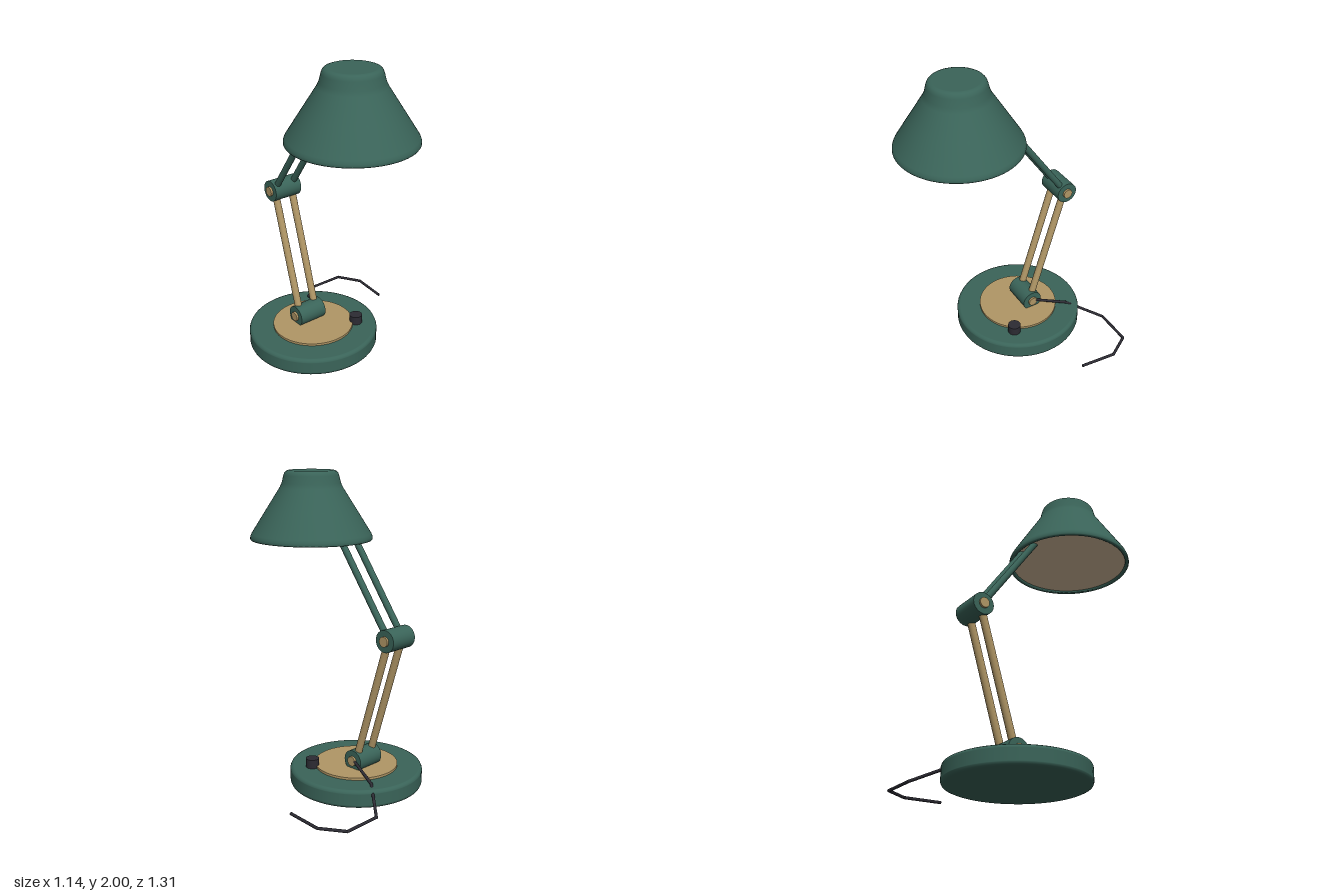
import * as THREE from 'three';

const mat = (name, color) => Object.assign(new THREE.MeshStandardMaterial({ color }), { name });

export function createModel() {
  const green = mat('greenEnamel', 0x3a6459);
  const tan = mat('brass', 0xb19766);
  const cream = mat('creamLining', 0xd8c0a0);
  const black = mat('blackRubber', 0x2c2b33);

  const lamp = new THREE.Group();
  lamp.name = 'deskLamp';
  const CX = -0.139; // centre line of the lamp
  const ARM = 0.064; // half spacing of paired rods

  const add = (name, geometry, material, x = 0, y = 0, z = 0) => {
    const mesh = new THREE.Mesh(geometry, material);
    mesh.name = name;
    mesh.position.set(x, y, z);
    lamp.add(mesh);
    return mesh;
  };
  const lathe = (points, segments = 64) =>
    new THREE.LatheGeometry(points.map(([r, y]) => new THREE.Vector2(r, y)), segments);
  // Straight round rod between two points
  const rod = (name, a, b, radius, material, sides = 16) => {
    const dir = b.clone().sub(a);
    const mesh = add(name, new THREE.CylinderGeometry(radius, radius, dir.length(), sides), material);
    mesh.position.copy(a).addScaledVector(dir, 0.5);
    mesh.quaternion.setFromUnitVectors(new THREE.Vector3(0, 1, 0), dir.normalize());
    return mesh;
  };

  // Weighted base with rounded edges
  add('base', lathe([
    [0, 0], [0.412, 0], [0.416, 0], [0.427, 0.005], [0.432, 0.017], [0.432, 0.021],
    [0.432, 0.093], [0.432, 0.097], [0.427, 0.109], [0.415, 0.115], [0.411, 0.115], [0, 0.115],
  ]), green, CX, 0, -0.157);
  add('basePlate', new THREE.CylinderGeometry(0.27, 0.27, 0.03, 64), tan, CX, 0.115, -0.157);
  add('switchKnob', new THREE.CylinderGeometry(0.043, 0.043, 0.06, 20), black, 0.098, 0.144, 0.012);

  // Hinge barrels with pins showing at both ends
  const lower = new THREE.Vector3(CX, 0.18, -0.218);
  const upper = new THREE.Vector3(CX, 1.021, -0.47);
  const hinge = (name, p) => {
    add(name, new THREE.CylinderGeometry(0.07, 0.07, 0.2, 32), green, p.x, p.y, p.z).rotation.z = Math.PI / 2;
    add(name + 'Pin', new THREE.CylinderGeometry(0.032, 0.032, 0.228, 24), tan, p.x, p.y, p.z).rotation.z = Math.PI / 2;
  };
  hinge('lowerHinge', lower);
  hinge('upperHinge', upper);

  // Paired arms
  const head = new THREE.Vector3(CX, 1.62, -0.047);
  for (const [side, s] of [['left', 1], ['right', -1]]) {
    const shift = (p) => p.clone().setX(CX + s * ARM);
    rod(side + 'LowerArm', shift(lower), shift(upper), 0.024, tan);
    rod(side + 'UpperArm', shift(upper), shift(head), 0.021, green);
  }

  // Shade, wrapped round the rim to a short inner wall
  add('shade', lathe([
    [0.372, 1.59], [0.374, 1.564], [0.38, 1.56], [0.394, 1.56], [0.398, 1.566], [0.396, 1.582], [0.388, 1.6],
    [0.29, 1.755], [0.203, 1.892], [0.19, 1.92], [0.178, 1.968], [0.172, 1.984], [0.162, 1.995],
    [0.148, 2], [0.142, 2], [0, 2],
  ]), green, CX, 0, 0.255);
  add('shadeLining', new THREE.CircleGeometry(0.375, 64), cream, CX, 1.574, 0.255).rotation.x = Math.PI / 2;

  // Power cord of straight runs with round joints
  const cord = [
    [-0.04, 0.19, -0.22], [0.04, 0.12, -0.45], [0.22, 0.03, -0.652],
    [0.468, 0.03, -0.65], [0.562, 0.03, -0.5], [0.542, 0.03, -0.257],
  ].map((p) => new THREE.Vector3(...p));
  for (let i = 0; i < cord.length - 1; i++) {
    rod('cordRun' + (i + 1), cord[i], cord[i + 1], 0.0095, black, 10);
    if (i > 0) add('cordBend' + i, new THREE.SphereGeometry(0.0095, 10, 8), black, ...cord[i].toArray());
  }

  return lamp;
}
